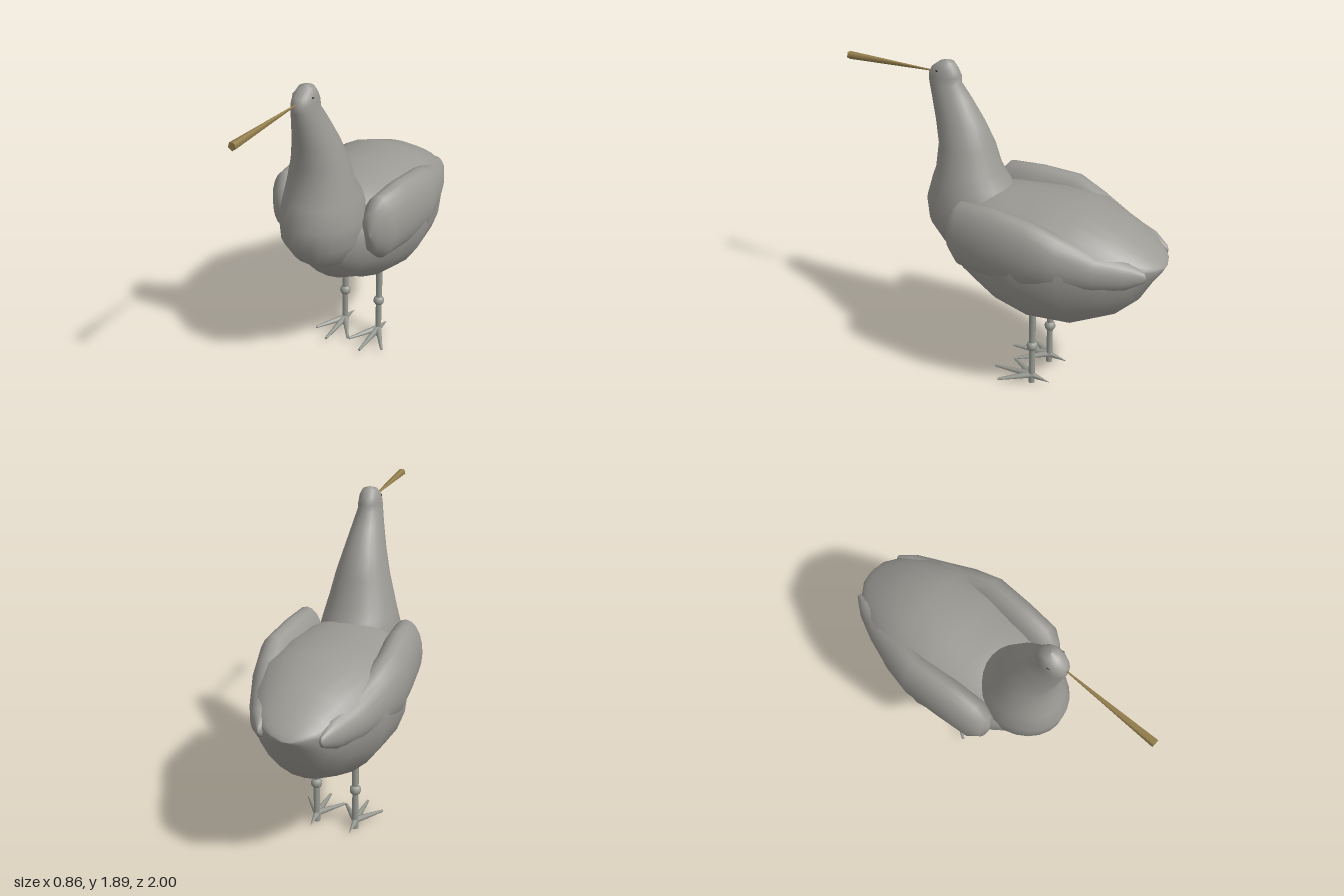
import * as THREE from 'three';

const plumage = new THREE.MeshStandardMaterial({ color: 0x9c9a95 });
plumage.name = 'grey plumage';
const legGrey = new THREE.MeshStandardMaterial({ color: 0x979992 });
legGrey.name = 'leg grey';
const beakTan = new THREE.MeshStandardMaterial({ color: 0x9a8450 });
beakTan.name = 'beak tan';
const eyeDark = new THREE.MeshStandardMaterial({ color: 0x3a3834 });
eyeDark.name = 'eye dark';

// Smooth skin over rings; ring(section, cos, sin) gives one point
function loft(sections, ring, seg = 20) {
  const pos = [], idx = [];
  sections.forEach((s, i) => {
    for (let j = 0; j < seg; j++) {
      const t = (j / seg) * Math.PI * 2;
      pos.push(...ring(s, Math.cos(t), Math.sin(t)));
      if (i === sections.length - 1) continue;
      const a = i * seg + j, c = i * seg + (j + 1) % seg;
      idx.push(a, a + seg, c, c, a + seg, c + seg);
    }
  });
  const g = new THREE.BufferGeometry();
  g.setAttribute('position', new THREE.Float32BufferAttribute(pos, 3));
  g.setIndex(idx);
  g.computeVertexNormals();
  return g;
}

function add(parent, name, geometry, material) {
  const m = new THREE.Mesh(geometry, material);
  m.name = name;
  parent.add(m);
  return m;
}

// Tapered rod from point a to point b
function rod(parent, name, a, b, ra, rb, sides, material) {
  const from = new THREE.Vector3(...a), to = new THREE.Vector3(...b);
  const dir = to.clone().sub(from);
  const m = add(parent, name, new THREE.CylinderGeometry(rb, ra, dir.length(), sides), material);
  m.position.copy(from).add(to).multiplyScalar(0.5);
  m.quaternion.setFromUnitVectors(new THREE.Vector3(0, 1, 0), dir.normalize());
  return m;
}

export function createModel() {
  const bird = new THREE.Group();
  bird.name = 'bird';

  // Body from breast to tail: z, bottom, widest height, top, half width
  const body = [
    [0.36, 0.9, 0.95, 1.0, 0.03],
    [0.27, 0.75, 0.95, 1.1, 0.2],
    [0.15, 0.63, 0.95, 1.17, 0.28],
    [0, 0.56, 0.95, 1.2, 0.35],
    [-0.1, 0.505, 0.95, 1.2, 0.385],
    [-0.27, 0.47, 0.95, 1.21, 0.42],
    [-0.53, 0.49, 0.95, 1.215, 0.385],
    [-0.75, 0.6, 0.96, 1.13, 0.29],
    [-0.87, 0.72, 0.97, 1.06, 0.215],
    [-0.94, 0.85, 0.965, 1.01, 0.145],
    [-0.98, 0.91, 0.96, 0.985, 0.09],
    [-1, 0.95, 0.95, 0.95, 0.02],
  ];
  add(bird, 'body', loft(body, ([z, lo, mid, hi, w], c, s) =>
    [w * c, mid + s * (s > 0 ? hi - mid : mid - lo), z], 24), plumage);

  // Breast, neck and head: y, back z, front z, half width
  const neck = [
    [0.72, 0, 0.2, 0.08],
    [0.83, -0.05, 0.37, 0.19],
    [0.95, -0.1, 0.452, 0.235],
    [1.08, -0.1, 0.465, 0.24],
    [1.2, -0.04, 0.43, 0.21],
    [1.28, 0.02, 0.4, 0.19],
    [1.42, 0.06, 0.385, 0.155],
    [1.55, 0.12, 0.407, 0.12],
    [1.68, 0.2, 0.435, 0.088],
    [1.76, 0.258, 0.452, 0.07],
    [1.8, 0.255, 0.455, 0.066],
    [1.84, 0.275, 0.435, 0.06],
    [1.875, 0.3, 0.39, 0.042],
    [1.89, 0.345, 0.345, 0],
  ];
  add(bird, 'neckAndHead', loft(neck, ([y, zb, zf, w], c, s) =>
    [w * c, y, (zb + zf) / 2 + s * (zf - zb) / 2], 24), plumage);

  // Long, slightly flared beak
  rod(bird, 'beak', [0, 1.81, 0.44], [0, 1.805, 1], 0.004, 0.024, 5, beakTan);

  // Folded wing: z, centre x, centre y, half width, half height
  const wing = [
    [0.19, 0.29, 1.0, 0, 0],
    [0.17, 0.29, 1.01, 0.06, 0.12],
    [0.1, 0.3, 1.015, 0.1, 0.195],
    [-0.1, 0.31, 1.01, 0.108, 0.21],
    [-0.33, 0.325, 1.0, 0.105, 0.205],
    [-0.5, 0.295, 0.98, 0.1, 0.16],
    [-0.7, 0.235, 0.95, 0.09, 0.11],
    [-0.85, 0.195, 0.95, 0.06, 0.08],
    [-0.94, 0.17, 0.95, 0.015, 0.03],
    [-0.95, 0.17, 0.95, 0, 0],
  ];

  for (const side of [1, -1]) {
    const label = side > 0 ? 'left' : 'right';
    add(bird, label + 'Wing', loft(wing, ([z, x, y, w, h], c, s) =>
      [side * x + w * c, y + h * s, z]), plumage);

    // Eye
    const eye = add(bird, label + 'Eye', new THREE.SphereGeometry(0.008, 8, 6), eyeDark);
    eye.scale.set(0.5, 0.7, 1.2);
    eye.position.set(side * 0.058, 1.835, 0.375);

    // Leg with knee and four toes
    const leg = new THREE.Group();
    leg.name = label + 'Leg';
    bird.add(leg);
    const x = side * 0.12, z = -0.265;
    rod(leg, 'upperLeg', [x, 0.26, z], [x, 0.53, z], 0.019, 0.021, 10, legGrey);
    rod(leg, 'lowerLeg', [x, 0, z], [x, 0.26, z], 0.019, 0.018, 10, legGrey);
    add(leg, 'knee', new THREE.SphereGeometry(0.034, 10, 8), legGrey).position.set(x, 0.262, z);
    for (const [dx, dz] of [[-0.115, 0.17], [0, 0.245], [0.115, 0.17]]) {
      rod(leg, 'frontToe', [x, 0.052, z], [x + dx, 0.034, z + dz], 0.021, 0.008, 7, legGrey);
    }
    rod(leg, 'hindToe', [x, 0.05, z], [x, 0.034, z - 0.115], 0.02, 0.001, 7, legGrey);
  }
  return bird;
}
